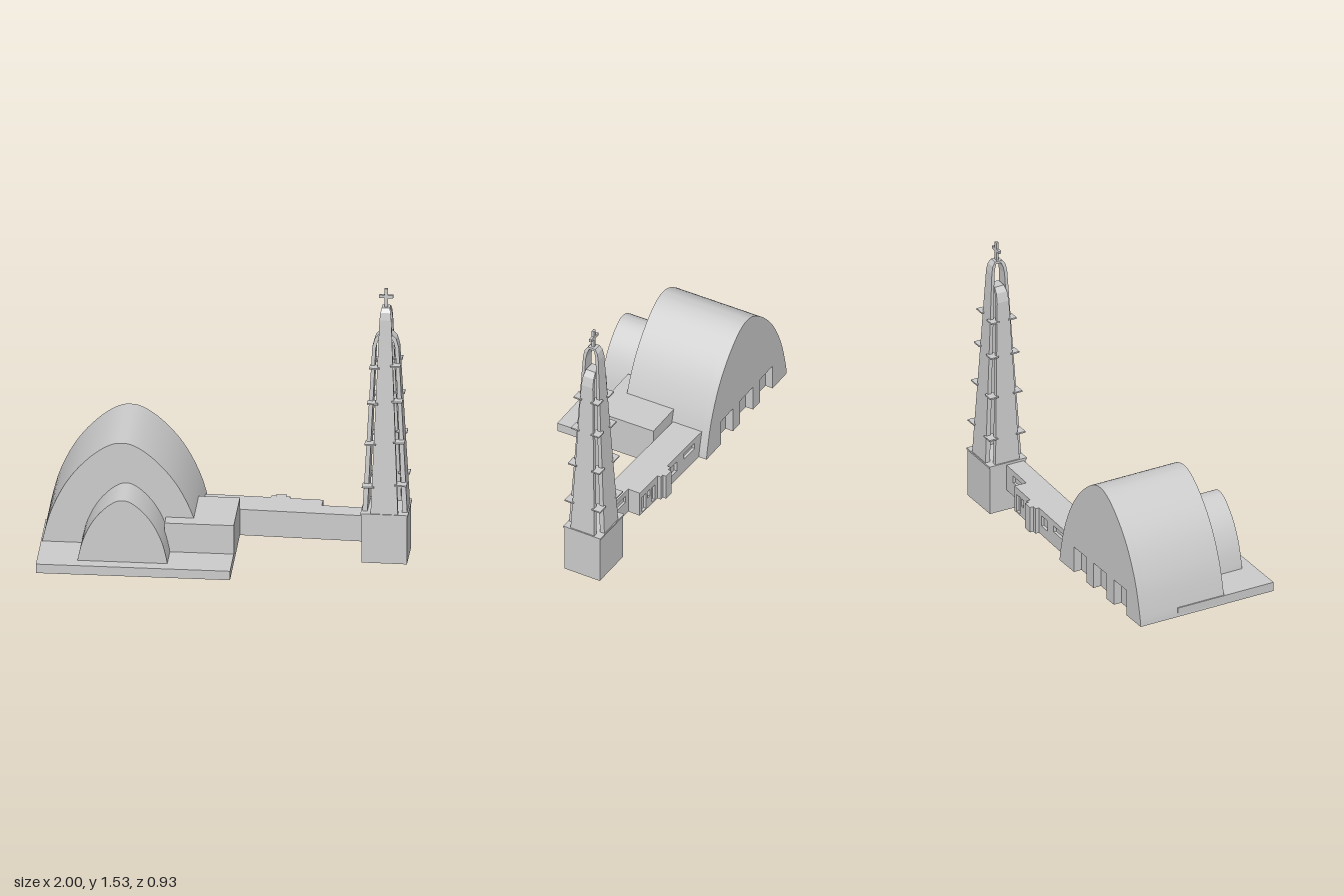
import * as THREE from 'three';
import { toCreasedNormals } from 'three/addons/utils/BufferGeometryUtils.js';

const material = new THREE.MeshStandardMaterial({ color: 0xcccccc, side: THREE.DoubleSide });

function add(parent, name, geometry) {
  const mesh = new THREE.Mesh(geometry, material);
  mesh.name = name;
  parent.add(mesh);
  return mesh;
}

// Box given by its limits on each axis
function block(parent, name, x0, x1, y0, y1, z0, z1) {
  const mesh = add(parent, name, new THREE.BoxGeometry(x1 - x0, y1 - y0, z1 - z0));
  mesh.position.set((x0 + x1) / 2, (y0 + y1) / 2, (z0 + z1) / 2);
  return mesh;
}

function turned(parent, name, x, z, angle) {
  const group = new THREE.Group();
  group.name = name;
  group.position.set(x, 0, z);
  group.rotation.y = -angle;
  parent.add(group);
  return group;
}

// Vault cross-section as fractions of half width and height
const VAULT = [[1, 0], [0.98, 0.09], [0.89, 0.33], [0.75, 0.55], [0.59, 0.72], [0.4, 0.86], [0.23, 0.95], [0.1, 0.992], [0, 1]];

function vault(parent, name, cx, half, y0, y1, z0, z1, notches = []) {
  const side = VAULT.map(([w, h]) => [cx + w * half, y0 + h * (y1 - y0)]);
  const other = side.slice(0, -1).reverse().map(([x, y]) => [2 * cx - x, y]);
  const curve = new THREE.SplineCurve([...side, ...other].map((p) => new THREE.Vector2(...p)));
  const points = curve.getPoints(48);
  // Doorways cut up from the ground line, left to right
  for (const [a, b, top] of notches) {
    points.push(...[[a, y0], [a, top], [b, top], [b, y0]].map((p) => new THREE.Vector2(...p)));
  }
  const geometry = new THREE.ExtrudeGeometry(new THREE.Shape(points), { depth: z1 - z0, bevelEnabled: false });
  geometry.translate(0, 0, z0);
  return add(parent, name, toCreasedNormals(geometry, 0.5));
}

// Wall panel with rectangular openings
function piercedWall(parent, name, x0, x1, y0, y1, z, depth, openings) {
  const rect = (path, a, b, c, d) => path.moveTo(a, c).lineTo(b, c).lineTo(b, d).lineTo(a, d).closePath();
  const shape = new THREE.Shape();
  rect(shape, x0, x1, y0, y1);
  for (const o of openings) {
    const hole = new THREE.Path();
    rect(hole, ...o);
    shape.holes.push(hole);
  }
  add(parent, name, new THREE.ExtrudeGeometry(shape, { depth, bevelEnabled: false })).position.z = z;
}

// Tapered arch of two leaning slabs that meet at the top.
// Each row: outer reach, outer y, inner reach, inner y, half width
function archFrame(rows) {
  const mirrored = rows.slice().reverse().map(([o, oy, i, iy, w]) => [-o, oy, -i, iy, w]);
  const rings = [...rows, ...mirrored].map(([o, oy, i, iy, w]) => [[o, oy, w], [o, oy, -w], [i, iy, -w], [i, iy, w]]);
  const pos = [];
  const quad = (a, b, c, d) => pos.push(...a, ...b, ...c, ...a, ...c, ...d);
  for (let r = 0; r + 1 < rings.length; r++) {
    for (let k = 0; k < 4; k++) {
      const n = (k + 1) % 4;
      quad(rings[r][k], rings[r][n], rings[r + 1][n], rings[r + 1][k]);
    }
  }
  const geometry = new THREE.BufferGeometry();
  geometry.setAttribute('position', new THREE.Float32BufferAttribute(pos, 3));
  geometry.computeVertexNormals();
  return geometry;
}

function buildChurch(root) {
  const church = turned(root, 'church', 0, 0, 0.131);
  block(church, 'terrace', -0.948, 0.075, 0.117, 0.168, -0.12, 0.459);
  block(church, 'sideAnnex', -0.29, 0.075, 0.118, 0.332, -0.12, 0.239);

  // Main vault, its rear end pierced by three recesses
  vault(church, 'mainVault', -0.521, 0.428, 0.117, 0.747, -0.3, 0.162);
  vault(church, 'mainVaultRear', -0.521, 0.428, 0.117, 0.747, -0.345, -0.3,
    [[-0.8, -0.665, 0.265], [-0.59, -0.45, 0.265], [-0.375, -0.245, 0.265]]);
  vault(church, 'frontVault', -0.498, 0.237, 0.16, 0.52, 0.16, 0.391);
}

function buildWing(root) {
  const wing = turned(root, 'connectingWing', -0.1, -0.14, 0.167);
  block(wing, 'wideBody', -0.04, 0.612, 0.117, 0.265, -0.158, 0);
  piercedWall(wing, 'wideRearWall', -0.02, 0.612, 0.117, 0.265, -0.174, 0.016, [
    [0.06, 0.17, 0.2, 0.235], [0.24, 0.31, 0.17, 0.23], [0.46, 0.49, 0.125, 0.22],
    [0.51, 0.535, 0.18, 0.225], [0.55, 0.59, 0.125, 0.225],
  ]);
  block(wing, 'narrowBody', 0.6, 0.86, 0.117, 0.265, -0.09, 0);
  piercedWall(wing, 'narrowRearWall', 0.61, 0.86, 0.117, 0.265, -0.104, 0.014, [[0.64, 0.76, 0.195, 0.235]]);

  // Stepped rear porch
  block(wing, 'porch', 0.335, 0.435, 0.117, 0.265, -0.195, -0.17);
  block(wing, 'porchFront', 0.36, 0.415, 0.117, 0.265, -0.215, -0.19);
}

function buildTower(root) {
  const tower = turned(root, 'bellTower', 0.857, -0.08, 0.145);
  block(tower, 'towerBase', -0.12, 0.12, 0, 0.275, -0.107, 0.107);
  block(tower, 'baseCap', -0.125, 0.125, 0.272, 0.282, -0.112, 0.112);

  // Tall frame front to back, shorter frame side to side
  const tall = archFrame([
    [0.107, 0.28, 0.08, 0.28, 0.072], [0.046, 1.37, 0.03, 1.36, 0.031],
    [0.038, 1.41, 0.024, 1.395, 0.027], [0.022, 1.432, 0.015, 1.418, 0.022],
  ]);
  add(tower, 'tallFrame', tall).rotation.y = Math.PI / 2;
  add(tower, 'shortFrame', archFrame([
    [0.118, 0.28, 0.092, 0.28, 0.072], [0.07, 1.21, 0.052, 1.2, 0.035],
    [0.056, 1.26, 0.042, 1.242, 0.032], [0.03, 1.287, 0.024, 1.27, 0.028],
  ]));

  // Corner plates bridging neighbouring legs
  for (const y of [0.44, 0.68, 0.91, 1.11]) {
    const t = (y - 0.44) / 0.67;
    const rx = 0.118 - 0.036 * t;
    const rz = 0.108 - 0.033 * t;
    const inner = 0.055 - 0.027 * t;
    for (const sx of [-1, 1]) {
      for (const sz of [-1, 1]) {
        const plate = add(tower, 'cornerPlate', new THREE.BoxGeometry(rx - inner, 0.008, rz - inner));
        plate.position.set(sx * (rx + inner) / 2, y + sx * 0.008, sz * (rz + inner) / 2);
      }
    }
  }

  // Cross on the summit
  block(tower, 'crossUpright', -0.009, 0.009, 1.42, 1.535, -0.007, 0.007);
  block(tower, 'crossArm', -0.037, 0.037, 1.482, 1.498, -0.007, 0.007);
}

export function createModel() {
  const root = new THREE.Group();
  root.name = 'churchWithBellTower';
  buildChurch(root);
  buildWing(root);
  buildTower(root);
  return root;
}
